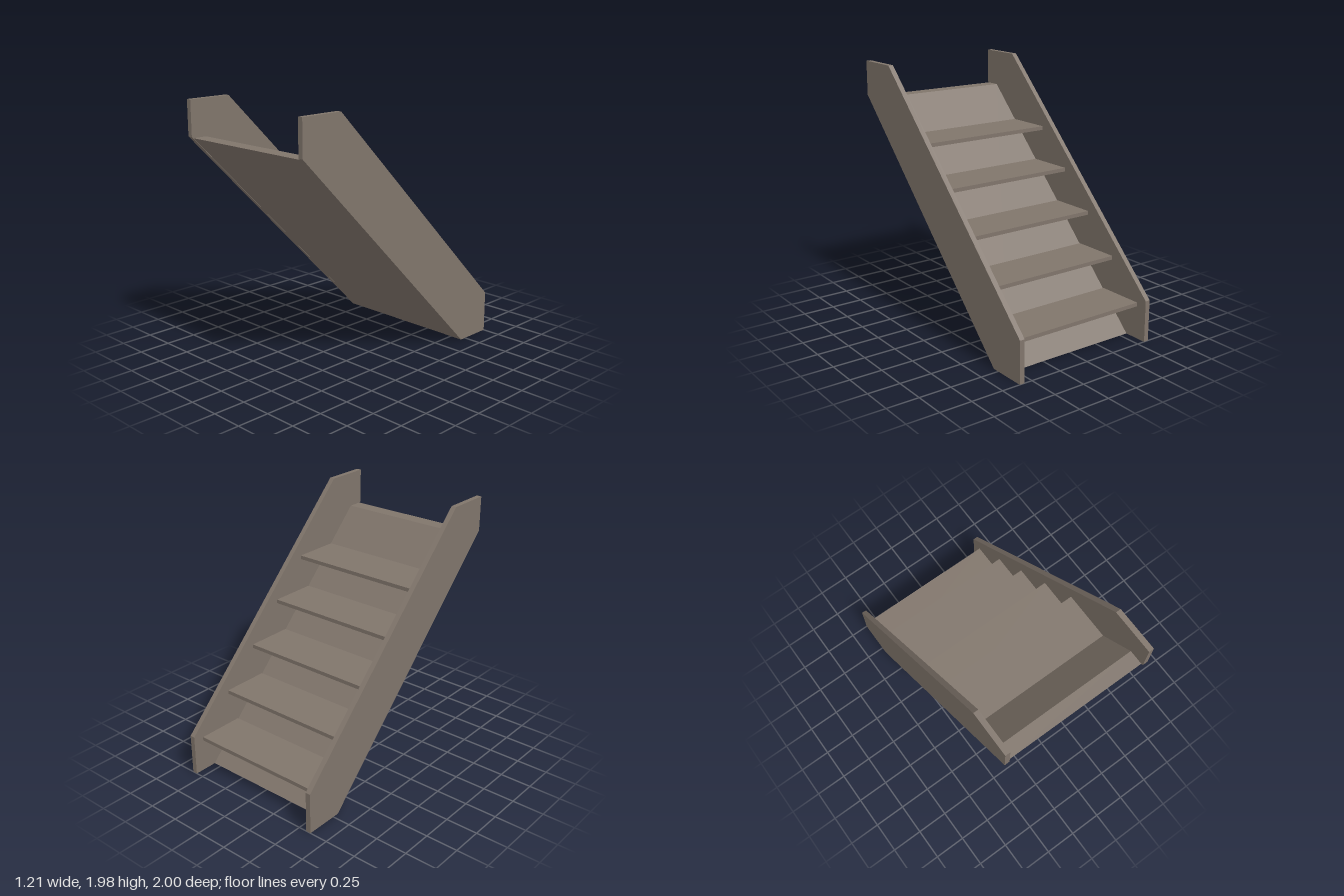
import * as THREE from 'three';

// Extrudes a side profile of [z, y] points across x, centred on x
function slab(name, profile, width, x, material) {
  const shape = new THREE.Shape(profile.map(([z, y]) => new THREE.Vector2(z, y)));
  const geometry = new THREE.ExtrudeGeometry(shape, { depth: width, bevelEnabled: false });
  geometry.translate(0, 0, -width / 2);
  geometry.rotateY(-Math.PI / 2);
  const mesh = new THREE.Mesh(geometry, material);
  mesh.name = name;
  mesh.position.x = x;
  return mesh;
}

export function createModel() {
  const group = new THREE.Group();
  group.name = 'staircase';
  const wood = new THREE.MeshStandardMaterial({ color: 0x80756b });
  wood.name = 'greyBrownWood';

  const outer = 0.605, thick = 0.04;
  const inner = outer - thick;

  // Side stringers
  const side = [[-1, 0], [-0.7, 0], [1, 1.71], [1, 1.98], [0.655, 1.98], [-1, 0.325]];
  for (const s of [1, -1]) {
    group.add(slab(s > 0 ? 'leftStringer' : 'rightStringer', side, thick, s * (outer - thick / 2), wood));
  }

  // Sloping board closing the underside
  const board = [[-0.7, 0], [0.985, 1.7], [0.872, 1.7], [-0.81, 0]];
  group.add(slab('backBoard', board, inner * 2, 0, wood));

  // Treads, their rear edges let into the board
  const depth = 0.375, height = 0.03, step = 0.288;
  for (let i = 0; i < 5; i++) {
    const tread = new THREE.Mesh(new THREE.BoxGeometry(inner * 2, height, depth), wood);
    tread.name = `tread${i + 1}`;
    tread.position.set(0, 0.287 + i * step - height / 2, -0.912 + i * step + depth / 2);
    group.add(tread);
  }
  return group;
}
